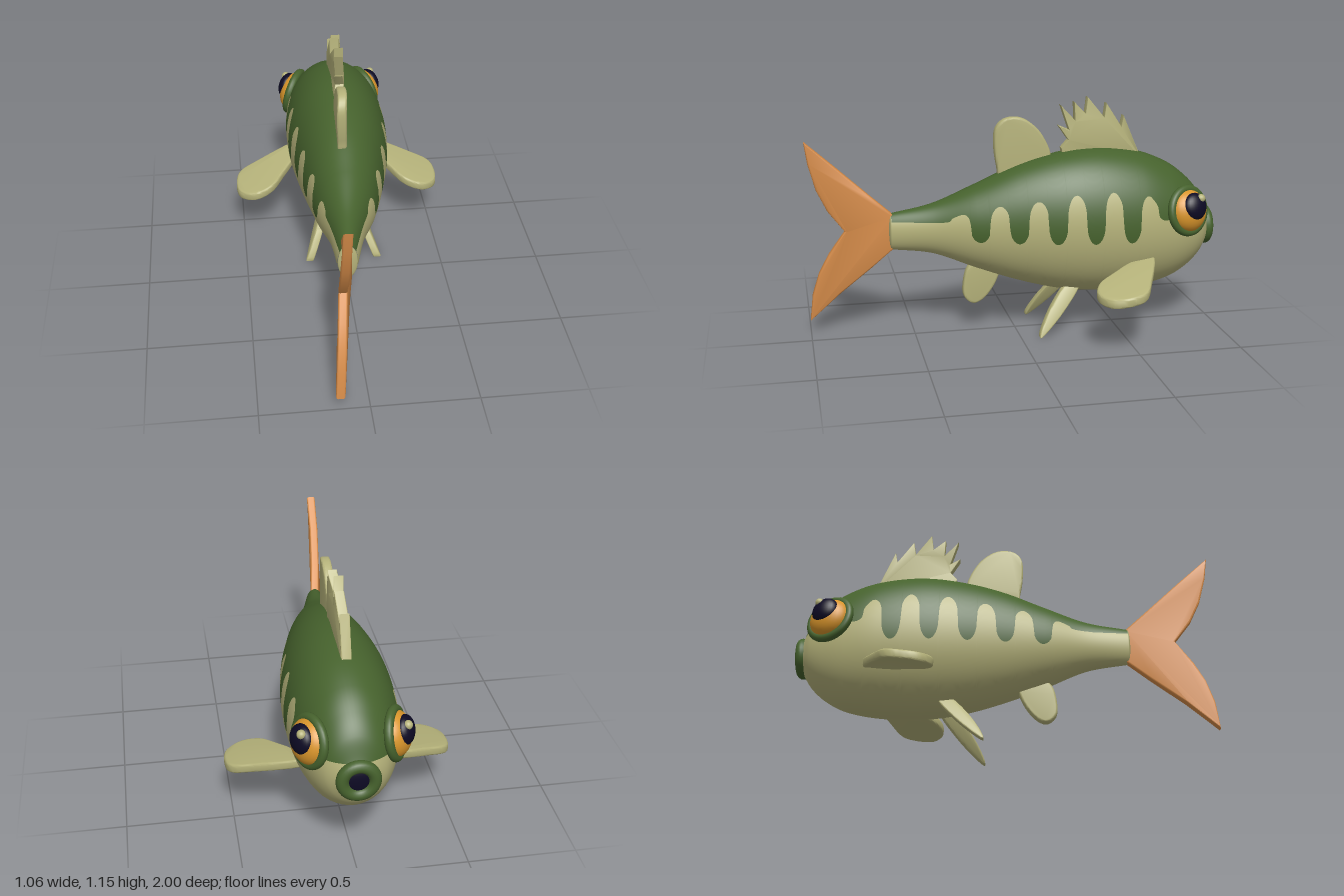
import * as THREE from 'three';
import { toCreasedNormals } from 'three/addons/utils/BufferGeometryUtils.js';
import { ParametricGeometry } from 'three/addons/geometries/ParametricGeometry.js';

const material = (name, color) => {
  const m = new THREE.MeshStandardMaterial({ color });
  m.name = name;
  return m;
};

export function createModel() {
  const model = new THREE.Group();
  const green = material('back green', 0x46622d);
  const cream = material('belly cream', 0xb5b27a);
  const orange = material('tail orange', 0xd68c49);
  const amber = material('iris amber', 0xd9952b);
  const navy = material('pupil navy', 0x0d0a24);

  const add = (name, geometry, mat, parent = model) => {
    const mesh = new THREE.Mesh(geometry, mat);
    mesh.name = name;
    parent.add(mesh);
    return mesh;
  };

  // Body sections, tail to nose: z, top, bottom, centre x, half width
  const sections = [
    [0.6, 0.61, 0.43, -0.057, 0.047], [0.4, 0.655, 0.405, -0.038, 0.085],
    [0.2, 0.74, 0.33, -0.02, 0.148], [0, 0.828, 0.26, -0.008, 0.195],
    [-0.2, 0.885, 0.208, 0, 0.233], [-0.4, 0.906, 0.183, 0, 0.254],
    [-0.6, 0.883, 0.192, 0, 0.25], [-0.75, 0.828, 0.222, 0, 0.223],
    [-0.85, 0.758, 0.272, 0, 0.187], [-0.92, 0.68, 0.335, 0, 0.143],
    [-0.965, 0.58, 0.405, 0, 0.085],
  ];
  const spine = new THREE.CatmullRomCurve3(
    sections.map(([z, top, bottom]) => new THREE.Vector3(top, bottom, z)), false, 'catmullrom');
  const girth = new THREE.CatmullRomCurve3(
    sections.map(([z, , , cx, hw]) => new THREE.Vector3(cx, hw, z)), false, 'catmullrom');

  // Height of the colour edge: stripes swing between two limits
  const lookup = (table, z) => {
    if (z >= table[0][0]) return table[0][1];
    for (let i = 1; i < table.length; i++) {
      const [z0, y0] = table[i - 1], [z1, y1] = table[i];
      if (z >= z1) return y0 + (y1 - y0) * (z - z0) / (z1 - z0);
    }
    return table[table.length - 1][1];
  };
  const upper = [[0.6, 0.575], [0.42, 0.575], [0.33, 0.6], [0.26, 0.625], [0.1, 0.665], [-0.08, 0.69],
    [-0.26, 0.72], [-0.44, 0.728], [-0.62, 0.7], [-0.73, 0.62], [-0.8, 0.58], [-1, 0.57]];
  const lower = [[0.6, 0.575], [0.42, 0.575], [0.28, 0.585], [0.235, 0.49], [-0.6, 0.48],
    [-0.65, 0.58], [-0.8, 0.58], [-1, 0.57]];
  const edgeHeight = (z) => {
    const wave = Math.cos(2 * Math.PI * (z - 0.19) / 0.179);
    const k = 0.5 - 0.5 * Math.sign(wave) * Math.abs(wave) ** 0.35;
    return lookup(lower, z) * (1 - k) + lookup(upper, z) * k;
  };

  // Body skin, split at the colour edge into back and belly
  const skin = (isBack) => (u, v, target) => {
    const { x: top, y: bottom, z } = spine.getPoint(v);
    const { x: cx, y: hw } = girth.getPoint(v);
    const mid = (top + bottom) / 2, h = (top - bottom) / 2;
    const edge = Math.acos(THREE.MathUtils.clamp((edgeHeight(z) - mid) / h, -0.95, 0.95));
    const t = isBack ? edge * (2 * u - 1) : edge + u * 2 * (Math.PI - edge);
    target.set(cx + hw * Math.sin(t), mid + h * Math.cos(t), z);
  };
  add('back', new ParametricGeometry(skin(true), 28, 400), green);
  add('belly', new ParametricGeometry(skin(false), 28, 400), cream);
  const stump = add('tailStump', new THREE.SphereGeometry(1, 24, 12), cream);
  stump.scale.set(0.046, 0.089, 0.012);
  stump.position.set(-0.057, 0.52, 0.6);

  // Mouth
  add('lips', new THREE.TorusGeometry(0.071, 0.029, 16, 36), green).position.set(0, 0.49, -0.971);
  const throat = add('mouthOpening', new THREE.SphereGeometry(1, 24, 12), navy);
  throat.scale.set(0.06, 0.06, 0.014);
  throat.position.set(0, 0.49, -0.972);

  // Eyes, each built along its own z axis and turned outward
  for (const side of [1, -1]) {
    const eye = new THREE.Group();
    eye.name = side > 0 ? 'leftEye' : 'rightEye';
    eye.position.set(side * 0.188, 0.612, -0.822);
    eye.lookAt(eye.position.clone().add(new THREE.Vector3(side * 0.88, 0.2, -0.42)));
    add('eyelid', new THREE.TorusGeometry(0.105, 0.021, 14, 40), green, eye);
    add('iris', new THREE.SphereGeometry(0.104, 32, 20), amber, eye).scale.z = 0.68;
    const pupil = add('pupil', new THREE.SphereGeometry(0.068, 28, 18), navy, eye);
    pupil.scale.z = 0.62;
    pupil.position.set(side * 0.003, 0.018, 0.046);
    add('glint', new THREE.SphereGeometry(0.021, 16, 12), cream, eye)
      .position.set(side * 0.026, 0.056, 0.071);
    model.add(eye);
  }

  // Fin plate from an outline; upright outlines are [z, y], level ones [x, z]
  const fin = (name, outline, mat, { depth = 0.045, bevel = 0.01, smooth = true, level = false, bend }) => {
    let pts = outline.map(([a, b]) => level ? new THREE.Vector2(a, -b) : new THREE.Vector2(-a, b));
    if (smooth) pts = new THREE.SplineCurve([...pts, pts[0]]).getPoints(48).slice(0, -1);
    const geo = new THREE.ExtrudeGeometry(new THREE.Shape(pts), {
      depth: depth - 2 * bevel, bevelThickness: bevel, bevelSize: bevel, bevelOffset: -bevel, bevelSegments: 3,
    });
    geo.translate(0, 0, bevel - depth / 2);
    if (level) geo.rotateX(-Math.PI / 2); else geo.rotateY(Math.PI / 2);
    const p = geo.attributes.position, v = new THREE.Vector3();
    for (let i = 0; i < p.count; i++) {
      bend(v.fromBufferAttribute(p, i));
      p.setXYZ(i, v.x, v.y, v.z);
    }
    add(name, toCreasedNormals(geo, 0.7), mat);
  };

  fin('spinyDorsalFin', [
    [-0.63, 0.85], [-0.54, 1.06], [-0.53, 1.005], [-0.45, 1.125], [-0.44, 1.055], [-0.36, 1.155],
    [-0.35, 1.075], [-0.29, 1.135], [-0.295, 1.045], [-0.225, 1.12], [-0.265, 1.0], [-0.215, 1.02],
    [-0.262, 0.95], [-0.23, 0.91], [-0.24, 0.84],
  ], cream, { smooth: false, bevel: 0.004, bend: (v) => { v.x += -0.008 + 0.008 * Math.sin(v.z * 40); } });

  fin('softDorsalFin', [
    [-0.18, 0.83], [-0.175, 0.9], [-0.12, 1.0], [-0.04, 1.06], [0.04, 1.062], [0.09, 1.015],
    [0.098, 0.93], [0.085, 0.83], [0.06, 0.77], [-0.1, 0.8],
  ], cream, { bend: (v) => { v.x += -0.018 - 1.2 * Math.max(0, v.z) ** 2; } });

  fin('analFin', [
    [0.07, 0.3], [0.1, 0.23], [0.15, 0.165], [0.205, 0.14], [0.25, 0.175], [0.255, 0.24],
    [0.23, 0.33], [0.15, 0.38],
  ], cream, { bend: (v) => { v.x -= 0.028; } });

  for (const side of [1, -1]) {
    const label = side > 0 ? 'left' : 'right';
    fin(label + 'PelvicFin', [
      [-0.31, 0.235], [-0.27, 0.18], [-0.19, 0.09], [-0.1, 0.01], [-0.095, 0.035], [-0.15, 0.135],
      [-0.23, 0.235], [-0.28, 0.26],
    ], cream, { depth: 0.04, bevel: 0.006, bend: (v) => { v.x += side * (0.088 + (0.22 - v.y) * 0.42); } });

    fin(label + 'PectoralFin', [
      [0.2, -0.655], [0.27, -0.635], [0.4, -0.58], [0.5, -0.53], [0.528, -0.46], [0.52, -0.37],
      [0.47, -0.32], [0.41, -0.31], [0.34, -0.345], [0.28, -0.43], [0.22, -0.53],
    ].map(([x, z]) => [side * x, z]), cream, {
      level: true,
      bend: (v) => { v.y += 0.37 - 0.23 * (Math.abs(v.x) - 0.24) - 0.13 * (v.z + 0.65); },
    });
  }

  // Forked tail, swept to one side
  fin('tailFin', [
    [0.585, 0.6], [0.7, 0.7], [0.85, 0.835], [1, 0.968], [0.985, 0.86], [0.95, 0.73], [0.9, 0.625], [0.82, 0.52],
    [0.9, 0.405], [0.95, 0.31], [0.985, 0.2], [1, 0.068], [0.85, 0.205], [0.7, 0.335], [0.585, 0.44],
  ], orange, {
    smooth: false, depth: 0.042, bevel: 0.008,
    bend: (v) => {
      const d = Math.max(0, v.z - 0.6);
      v.x += -0.057 - 0.22 * Math.min(d, 0.2) - 0.08 * Math.max(0, d - 0.2) + 0.036 * (v.y - 0.52) * Math.min(1, d / 0.2);
    },
  });

  return model;
}
